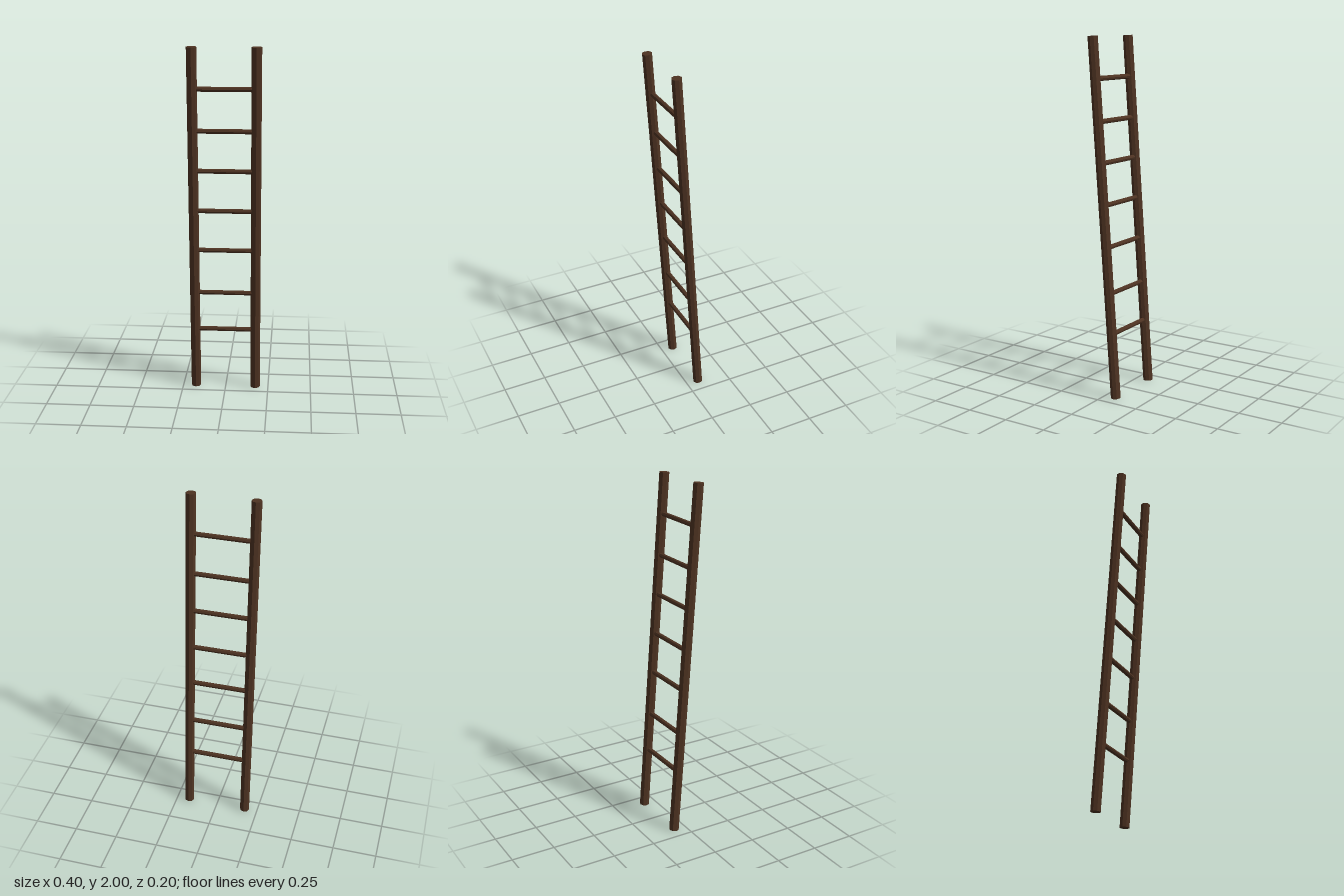
import * as THREE from 'three';

export function createModel() {
  const ladder = new THREE.Group();
  ladder.name = 'ladder';

  const lean = 0.072;
  const railRadius = 0.028, railLength = 2.001, railX = 0.174;
  const rungRadius = 0.0138;
  const rungHeights = [0.368, 0.596, 0.854, 1.087, 1.317, 1.542, 1.772];

  const wood = new THREE.MeshStandardMaterial({ color: 0x4e3322, flatShading: true });

  // Everything leans forward around the middle of the ladder
  const frame = new THREE.Group();
  frame.name = 'leaningFrame';
  frame.position.y = 1;
  frame.rotation.x = lean;
  ladder.add(frame);

  // Octagonal side rails
  const railGeometry = new THREE.CylinderGeometry(railRadius, railRadius, railLength, 8);
  for (const [name, side] of [['leftRail', 1], ['rightRail', -1]]) {
    const rail = new THREE.Mesh(railGeometry, wood);
    rail.name = name;
    rail.position.x = side * railX;
    frame.add(rail);
  }

  // Slim rungs, ending inside the rails
  const rungGeometry = new THREE.CylinderGeometry(rungRadius, rungRadius, railX * 2, 8);
  rungGeometry.rotateZ(Math.PI / 2);
  rungHeights.forEach((height, i) => {
    const rung = new THREE.Mesh(rungGeometry, wood);
    rung.name = `rung${i + 1}`;
    rung.position.set(0, (height - 1) / Math.cos(lean), -0.002);
    frame.add(rung);
  });

  return ladder;
}
